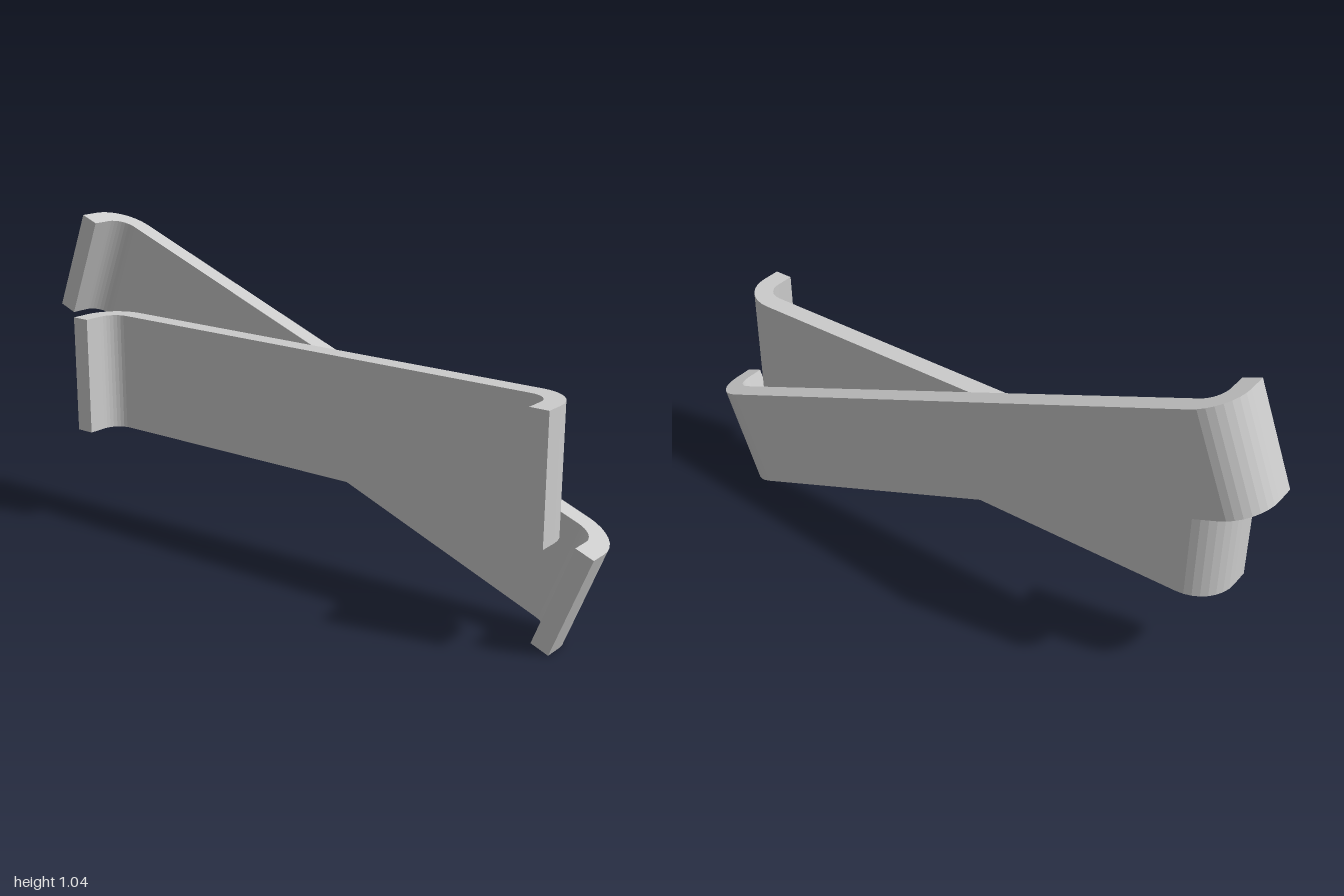
import * as THREE from 'three';

const THICK = 0.06;   // plate thickness
const INNER = 0.06;   // inner bend radius
const OUTER = INNER + THICK;
const REACH = 0.18;   // overall depth in x, arm tip to web face

// Bracket with a long flat web (outer face at x = 0) and two arms bent towards -x
function bracket(name, halfLength, height) {
  const c = halfLength - OUTER; // bend centre along the length
  const s = new THREE.Shape();
  s.moveTo(-REACH, -halfLength);
  s.lineTo(-OUTER, -halfLength);
  s.absarc(-OUTER, -c, OUTER, -Math.PI / 2, 0, false);
  s.absarc(-OUTER, c, OUTER, 0, Math.PI / 2, false);
  s.lineTo(-REACH, halfLength);
  s.lineTo(-REACH, halfLength - THICK);
  s.absarc(-OUTER, c, INNER, Math.PI / 2, 0, true);
  s.absarc(-OUTER, -c, INNER, 0, -Math.PI / 2, true);
  s.lineTo(-REACH, -halfLength + THICK);
  s.closePath();

  const geometry = new THREE.ExtrudeGeometry(s, { depth: height, bevelEnabled: false, curveSegments: 4 });
  geometry.translate(0, 0, -height / 2);
  geometry.rotateX(-Math.PI / 2);
  const material = new THREE.MeshStandardMaterial({ color: 0xcccccc, flatShading: true });
  const mesh = new THREE.Mesh(geometry, material);
  mesh.name = name;
  return mesh;
}

export function createModel() {
  const group = new THREE.Group();
  group.name = 'crossedBrackets';

  // Level bracket behind
  const level = bracket('levelBracket', 0.88, 0.383);
  level.position.set(0.06, 0.523, 0);

  // Slanted bracket lying against its web, rising towards the back
  const slanted = bracket('slantedBracket', 1.008, 0.331);
  slanted.position.set(0.12, 0.523, 0);
  slanted.rotation.x = THREE.MathUtils.degToRad(21.3);

  group.add(level, slanted);
  return group;
}
